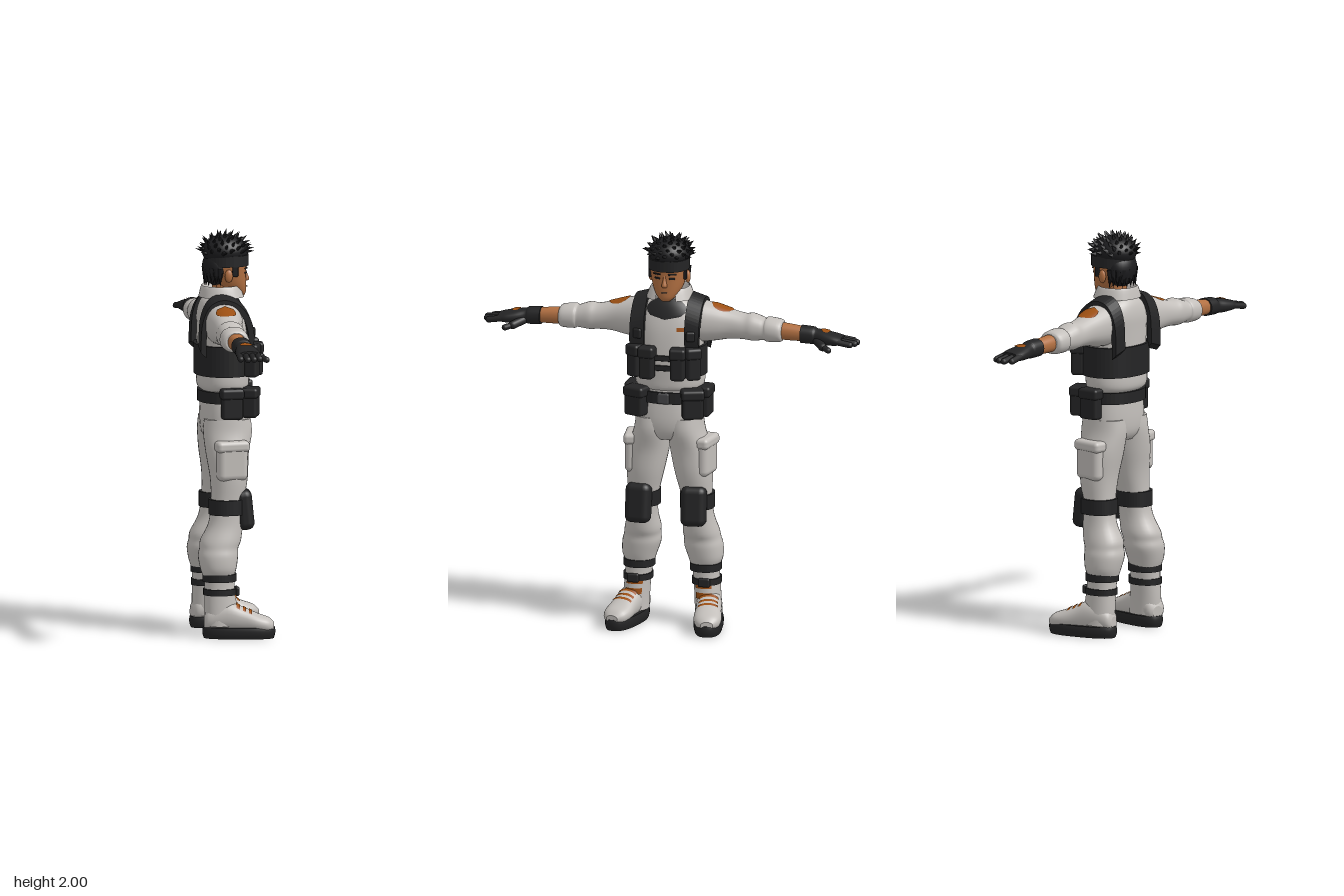
import * as THREE from 'three';
import { RoundedBoxGeometry } from 'three/addons/geometries/RoundedBoxGeometry.js';

const mat = (name, color) => Object.assign(new THREE.MeshStandardMaterial({ color }), { name });
const PI = Math.PI;

// Superellipse point for angle a
const sup = (a, p) => [Math.cos(a), Math.sin(a)].map(v => Math.sign(v) * Math.abs(v) ** (2 / p));

// Catmull-Rom sample of a list of cross-sections
function sample(secs, u) {
  const n = secs.length - 1, i = Math.min(Math.floor(u), n - 1), f = u - i;
  const s = k => secs[Math.max(0, Math.min(n, k))];
  return secs[0].map((_, c) => {
    const [a, b, d, e] = [s(i - 1)[c], s(i)[c], s(i + 1)[c], s(i + 2)[c]];
    return b + 0.5 * f * (d - a + f * (2 * a - 5 * b + 4 * d - e + f * (3 * (b - d) + e - a)));
  });
}

// Skin through sections [t, a, b, ra, rb] along an axis; y: a=x b=z, x: a=z b=y, z: a=y b=x.
// A range of u and angle gives a surface patch lifted by off.
function loft(axis, secs, o = {}) {
  const { u0 = 0, u1 = secs.length - 1, a0 = 0, a1 = 2 * PI, off = 0, oval = false, p = 2.2, seg = 28 } = o;
  const closed = a1 - a0 > 6.28, cols = closed ? seg : seg + 1;
  const rows = Math.max(6, Math.ceil((u1 - u0) * 4)), pos = [], idx = [];
  const put = (t, a, b) => pos.push(...(axis === 'y' ? [a, t, b] : axis === 'x' ? [t, b, a] : [b, a, t]));
  const ring = (s, k) => {
    for (let j = 0; j < cols; j++) {
      const mid = (a0 + a1) / 2, [c, d] = sup(mid + (j / seg - 0.5) * (a1 - a0) * k, p);
      put(s[0], s[1] + (s[3] + off) * c, s[2] + (s[4] + off) * d);
    }
  };
  for (let r = 0; r <= rows; r++) ring(sample(secs, u0 + (u1 - u0) * r / rows), oval ? Math.sqrt(Math.sin(PI * r / rows)) : 1);
  for (let r = 0; r < rows; r++) for (let j = 0; j < seg; j++) {
    const a = r * cols + j, c = r * cols + (j + 1) % cols;
    idx.push(a, a + cols, c, c, a + cols, c + cols);
  }
  if (closed) for (const end of [0, 1]) {
    const s = sample(secs, end ? u1 : u0), base = pos.length / 3;
    ring(s, 1);
    put(s[0], s[1], s[2]);
    for (let j = 0; j < seg; j++) {
      const q = [base + j, base + (j + 1) % seg];
      idx.push(base + seg, ...(end ? q.reverse() : q));
    }
  }
  const g = new THREE.BufferGeometry();
  g.setAttribute('position', new THREE.Float32BufferAttribute(pos, 3));
  g.setIndex(idx);
  g.computeVertexNormals();
  return g;
}

// Strap round a body, angle 0 at the front
function band(y0, y1, cx, cz, rx, rz, gap = 0, th = 0.015) {
  const pts = [], n = 40;
  for (const k of [0, th]) for (let i = 0; i <= n; i++) {
    const f = k ? 1 - i / n : i / n, [c, s] = sup(gap + f * (2 * PI - 2 * gap), 2.2);
    pts.push(new THREE.Vector2(s * (rx - k), -c * (rz - k)));
  }
  return new THREE.ExtrudeGeometry(new THREE.Shape(pts), { depth: y1 - y0, bevelEnabled: false })
    .rotateX(-PI / 2).translate(cx, y0, cz);
}

const box = (w, h, d, x, y, z, ry = 0, rx = 0, r = 0.015) =>
  new RoundedBoxGeometry(w, h, d, 3, Math.min(r, w / 2.1, h / 2.1, d / 2.1)).rotateX(rx).rotateY(ry).translate(x, y, z);
const ball = (x, y, z, rx, ry, rz) => new THREE.SphereGeometry(1, 28, 20).scale(rx, ry, rz).translate(x, y, z);

function finger(a, b, r) {
  const p = new THREE.Vector3(...a), q = new THREE.Vector3(...b), d = q.clone().sub(p);
  const rot = new THREE.Quaternion().setFromUnitVectors(new THREE.Vector3(0, 1, 0), d.clone().normalize());
  const m = p.add(q).multiplyScalar(0.5);
  return new THREE.CapsuleGeometry(r, d.length(), 6, 12).applyQuaternion(rot).translate(m.x, m.y, m.z);
}

function mirrored(geo) {
  const g = geo.clone().scale(-1, 1, 1);
  const src = g.index ? Array.from(g.index.array) : Array.from({ length: g.attributes.position.count }, (_, i) => i);
  for (let i = 0; i < src.length; i += 3) [src[i], src[i + 1]] = [src[i + 1], src[i]];
  g.setIndex(src);
  return g;
}

export function createModel() {
  const cloth = mat('paleCloth', 0xc3bfbb), black = mat('blackGear', 0x242425), orange = mat('orange', 0x9c4f12);
  const skin = mat('skin', 0xb27042), hair = mat('hair', 0x1c1c1e), metal = mat('darkMetal', 0x454547);
  cloth.side = THREE.DoubleSide;
  const root = new THREE.Group(), body = new THREE.Group();
  root.name = 'figure';
  body.name = 'soldier';
  body.rotation.y = PI / 2; // the figure is built facing +z, then turned to +x
  root.add(body);
  const add = (name, g, m) => { const k = new THREE.Mesh(g, m); k.name = name; body.add(k); };
  const pair = (name, g, m) => { add(name, g, m); add(name + 'Mirror', mirrored(g), m); };

  // Trousers
  add('hips', loft('y', [[0.96, 0, -0.03, 0.1, 0.09], [1.0, 0, -0.03, 0.155, 0.115], [1.08, 0, -0.03, 0.165, 0.122], [1.22, 0, -0.035, 0.145, 0.11]]), cloth);
  pair('trouserLeg', loft('y', [[0.3, 0.165, -0.09, 0.07, 0.075], [0.34, 0.167, -0.09, 0.085, 0.088], [0.4, 0.157, -0.09, 0.095, 0.098],
    [0.44, 0.152, -0.085, 0.09, 0.095], [0.48, 0.147, -0.075, 0.088, 0.1], [0.56, 0.142, -0.05, 0.074, 0.085], [0.66, 0.135, -0.04, 0.075, 0.08],
    [0.78, 0.122, -0.03, 0.092, 0.092], [0.9, 0.105, -0.035, 0.1, 0.105], [1.0, 0.085, -0.03, 0.09, 0.12], [1.07, 0.08, -0.03, 0.085, 0.115]]), cloth);
  pair('cargoPocket', box(0.07, 0.18, 0.155, 0.186, 0.865, -0.025, -0.15, 0, 0.03), cloth);
  pair('cargoFlap', box(0.078, 0.055, 0.168, 0.187, 0.945, -0.025, -0.15, 0, 0.02), cloth);
  pair('kneePad', box(0.128, 0.2, 0.085, 0.14, 0.627, 0.043, 0.1, -0.1, 0.035), black);
  pair('kneeStrap', band(0.605, 0.68, 0.137, -0.042, 0.085, 0.09), black);

  // Boots, toes turned out
  const turn = g => g.rotateY(0.2).translate(0.205, 0, 0);
  const foot = [[-0.165, 0.075, 0, 0.03, 0.03], [-0.14, 0.09, 0, 0.055, 0.056], [-0.05, 0.105, 0, 0.075, 0.063], [0.03, 0.09, 0, 0.06, 0.064],
    [0.1, 0.075, 0, 0.045, 0.069], [0.15, 0.066, 0, 0.036, 0.058], [0.178, 0.06, 0, 0.018, 0.03]];
  const shaft = [[0.06, 0.185, -0.075, 0.066, 0.083], [0.15, 0.18, -0.08, 0.064, 0.08], [0.25, 0.172, -0.085, 0.065, 0.074], [0.32, 0.168, -0.085, 0.07, 0.076]];
  pair('sole', turn(loft('y', [[0, 0, 0.005, 0.066, 0.172], [0.02, 0, 0.005, 0.072, 0.178], [0.04, 0, 0.005, 0.073, 0.179], [0.056, 0, 0.005, 0.07, 0.176]], { p: 2.5 })), black);
  pair('bootFoot', turn(loft('z', foot)), cloth);
  pair('bootShaft', loft('y', shaft), cloth);
  for (const u of [2.55, 2.95, 3.35]) pair('bootLace', turn(loft('z', foot, { u0: u, u1: u + 0.2, a0: -0.75, a1: 0.75, off: 0.004 })), orange);
  for (const u of [0.95, 1.45]) pair('shaftLace', loft('y', shaft, { u0: u, u1: u + 0.3, a0: 1.0, a1: 2.2, off: 0.004 }), orange);
  pair('ankleStrap', band(0.278, 0.315, 0.168, -0.085, 0.077, 0.083), black);
  pair('lowerStrap', band(0.212, 0.243, 0.174, -0.083, 0.072, 0.082), black);
  pair('strapBuckle', box(0.06, 0.045, 0.02, 0.18, 0.228, 0), black);

  // Belt and pouches
  add('belt', band(1.15, 1.207, 0, -0.033, 0.166, 0.13), black);
  add('beltBuckle', box(0.06, 0.055, 0.02, 0, 1.178, 0.095), metal);
  const pouch = (name, w, h, d, x, y, z, ry) => {
    pair(name, box(w, h, d, x, y, z, ry), black);
    pair(name + 'Flap', box(w + 0.01, h * 0.36, d + 0.01, x, y + h * 0.34, z, ry), black);
  };
  pouch('frontBeltPouch', 0.105, 0.145, 0.075, 0.142, 1.155, 0.075, 0.35);
  pouch('sideBeltPouch', 0.06, 0.15, 0.105, 0.183, 1.153, -0.025, 0);

  // Jacket
  const torso = [[1.205, 0, -0.04, 0.14, 0.105], [1.225, 0, -0.04, 0.166, 0.123], [1.27, 0, -0.04, 0.173, 0.128], [1.38, 0, -0.035, 0.165, 0.128],
    [1.5, 0, -0.04, 0.172, 0.124], [1.58, 0, -0.05, 0.165, 0.115], [1.64, 0, -0.055, 0.125, 0.095], [1.675, 0, -0.055, 0.07, 0.065]];
  add('jacket', loft('y', torso, { seg: 40 }), cloth);
  add('undershirt', loft('y', torso, { u0: 4.9, u1: 7, a0: PI / 2 - 0.75, a1: PI / 2 + 0.75, off: 0.005, oval: true }), black);
  add('chestTag', loft('y', torso, { u0: 4.2, u1: 4.42, a0: 0.95, a1: 1.25, off: 0.006 }), orange);
  add('placket', loft('y', torso, { u0: 1.2, u1: 4.9, a0: PI / 2 - 0.1, a1: PI / 2 + 0.1, off: 0.004 }), cloth);
  add('collar', loft('y', [[1.61, 0, -0.045, 0.1, 0.095], [1.665, 0, -0.05, 0.078, 0.075], [1.71, 0, -0.05, 0.086, 0.085],
    [1.718, 0, -0.05, 0.097, 0.094], [1.665, 0, -0.045, 0.118, 0.112]], { a0: PI / 2 + 0.42, a1: PI * 2.5 - 0.42 }), cloth);

  // Sleeves with rolled cuffs, forearms and gloves
  const sleeve = [[0.06, -0.06, 1.55, 0.08, 0.085], [0.14, -0.06, 1.548, 0.095, 0.104], [0.22, -0.065, 1.543, 0.084, 0.092], [0.3, -0.07, 1.538, 0.07, 0.073],
    [0.37, -0.072, 1.53, 0.067, 0.064], [0.41, -0.072, 1.53, 0.069, 0.068], [0.45, -0.072, 1.526, 0.064, 0.06], [0.475, -0.072, 1.523, 0.061, 0.054],
    [0.49, -0.072, 1.523, 0.069, 0.061], [0.55, -0.072, 1.52, 0.067, 0.056], [0.565, -0.072, 1.52, 0.052, 0.044]];
  pair('sleeve', loft('x', sleeve), cloth);
  pair('shoulderPatch', loft('x', sleeve, { u0: 1.8, u1: 3.25, a0: PI / 2 - 0.62, a1: PI / 2 + 0.62, off: 0.005, oval: true }), orange);
  pair('forearm', loft('x', [[0.54, -0.07, 1.52, 0.043, 0.042], [0.6, -0.07, 1.517, 0.041, 0.041], [0.69, -0.068, 1.512, 0.034, 0.035]]), skin);
  const glove = [[0.66, -0.065, 1.513, 0.048, 0.044], [0.72, -0.065, 1.51, 0.045, 0.043], [0.735, -0.065, 1.508, 0.041, 0.037], [0.78, -0.062, 1.503, 0.053, 0.035],
    [0.83, -0.06, 1.499, 0.06, 0.029], [0.87, -0.06, 1.496, 0.056, 0.021]];
  pair('glove', loft('x', glove), black);
  pair('gloveBadge', loft('x', glove, { u0: 2.6, u1: 3.55, a0: PI / 2 - 0.5, a1: PI / 2 + 0.5, off: 0.005, oval: true }), orange);
  [[-0.105, 0.912], [-0.075, 0.936], [-0.045, 0.932], [-0.016, 0.915]].forEach(([z, end]) =>
    pair('gloveFinger', finger([0.84, 1.498, z], [end, 1.486, z * 1.05], 0.0155), black));
  pair('gloveThumb', finger([0.745, 1.49, -0.035], [0.785, 1.475, 0.012], 0.021), black);
  pair('thumbTip', finger([0.785, 1.475, 0.012], [0.82, 1.466, 0.035], 0.015), black);

  // Chest rig: band, pouches, clips and shoulder straps
  add('rigBand', band(1.285, 1.435, 0, -0.038, 0.184, 0.142, 0.3), black);
  for (const y of [1.335, 1.385]) add('rigCrossStrap', box(0.11, 0.028, 0.012, 0, y, 0.103, 0, 0, 0.004), black);
  pouch('innerRigPouch', 0.072, 0.16, 0.06, 0.078, 1.362, 0.115, 0.1);
  pouch('outerRigPouch', 0.07, 0.16, 0.065, 0.146, 1.362, 0.082, 0.5);
  const shoulderLine = [[0.082, 1.43], [0.088, 1.5], [0.07, 1.58], [0.015, 1.65], [-0.06, 1.678], [-0.13, 1.65], [-0.17, 1.56], [-0.178, 1.42]];
  const line = new THREE.SplineCurve(shoulderLine.map(q => new THREE.Vector2(...q))).getPoints(36);
  const inner = line.map(v => new THREE.Vector2(-0.045 + (v.x + 0.045) * 0.8, v.y - 0.025)).reverse();
  const shear = new THREE.Matrix4().makeShear(-0.3, 0, 0, 0, 0, 0);
  pair('shoulderStrap', new THREE.ExtrudeGeometry(new THREE.Shape([...line, ...inner]), { depth: 0.072, bevelEnabled: false })
    .rotateY(-PI / 2).translate(0.175, 0.042, 0).applyMatrix4(shear), black);
  pair('strapClip', box(0.045, 0.05, 0.02, 0.135, 1.5, 0.088, 0.3), black);

  // Head and face
  add('neck', new THREE.CylinderGeometry(0.05, 0.058, 0.16, 24).translate(0, 1.66, -0.04), skin);
  add('head', loft('y', [[1.665, 0, 0.045, 0.022, 0.022], [1.685, 0, 0.028, 0.046, 0.047], [1.725, 0, 0.002, 0.071, 0.074], [1.78, 0, -0.015, 0.087, 0.09],
    [1.84, 0, -0.02, 0.092, 0.097], [1.9, 0, -0.025, 0.08, 0.085], [1.94, 0, -0.025, 0.04, 0.045]]), skin);
  add('nose', loft('y', [[1.738, 0, 0.072, 0.012, 0.01], [1.748, 0, 0.076, 0.014, 0.017], [1.775, 0, 0.073, 0.008, 0.01], [1.8, 0, 0.068, 0.006, 0.008]]), skin);
  pair('ear', ball(0.093, 1.775, -0.025, 0.013, 0.032, 0.02).rotateZ(0), skin);
  pair('eye', box(0.03, 0.009, 0.008, 0.037, 1.783, 0.069, 0.35, 0, 0.003), hair);
  pair('eyebrow', box(0.042, 0.008, 0.008, 0.039, 1.805, 0.071, 0.35, 0, 0.003), hair);
  add('mouth', box(0.03, 0.004, 0.006, 0, 1.712, 0.079, 0, 0, 0.002), metal);
  add('headband', band(1.818, 1.872, 0, -0.02, 0.1, 0.108), black);

  // Hair: rounded cap and spiky locks
  add('hairCap', ball(0, 1.89, -0.028, 0.104, 0.078, 0.114), hair);
  add('hairBack', ball(0, 1.81, -0.07, 0.09, 0.092, 0.07), hair);
  pair('sideburn', box(0.014, 0.07, 0.03, 0.088, 1.805, 0.008, 0, 0, 0.006), hair);
  const lock = (x, y, z, dir, r, h) => add('hairLock', new THREE.ConeGeometry(r, h, 7).scale(1, 1, 0.7)
    .applyQuaternion(new THREE.Quaternion().setFromUnitVectors(new THREE.Vector3(0, 1, 0), dir.normalize())).translate(x, y, z), hair);
  for (let i = 0; i < 64; i++) {
    const t = 1 - (i + 0.5) / 60, r = Math.sqrt(1 - t * t), a = i * 2.39996;
    const [x, z] = [r * Math.cos(a), r * Math.sin(a)], wob = Math.sin(i * 5.3) * 0.3;
    lock(x * 0.098, 1.888 + t * 0.074, -0.028 + z * 0.107, new THREE.Vector3(x + wob, t + 0.15, z + 0.35 - wob), 0.027, 0.072 + 0.012 * Math.sin(i * 3.1));
  }
  for (let i = 0; i < 11; i++) {
    const a = PI + (i / 10) * PI;
    lock(Math.cos(a) * 0.082, 1.765, -0.066 + Math.sin(a) * 0.06, new THREE.Vector3(Math.cos(a) * 0.15, -1, Math.sin(a) * 0.1), 0.024, 0.09);
  }
  return root;
}
